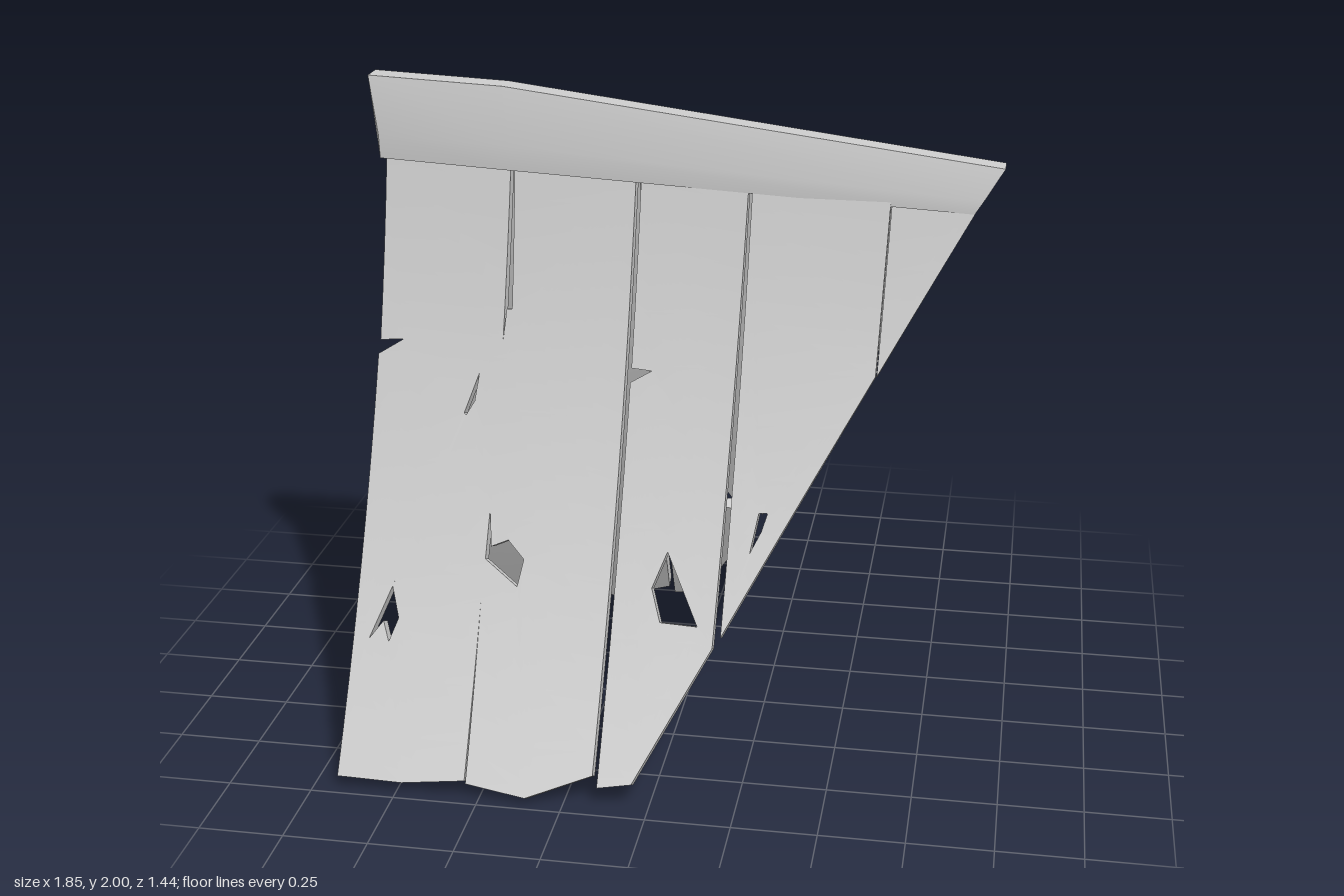
import * as THREE from 'three';
import { toCreasedNormals } from 'three/addons/utils/BufferGeometryUtils.js';

const material = new THREE.MeshStandardMaterial({ color: 0xcccccc });
const THICKNESS = 0.042;

// Centre line of the slightly skewed roof, and the sagging slope of each side
const centre = (x, y) => 0.03 * y - 0.015 * x;
const slope = (y) => 0.732 - 0.58 * y + 0.108 * y * y;
const slopeRate = (y) => -0.58 + 0.216 * y;
// Height of the lower edge of the ridge, where the planks tuck in
const eave = (x) => 1.795 - 0.058 * (x + 0.885);

// Flat outlines (x, y) with holes, drawn on the outer face of the roof
const planks = [
  {
    name: 'widePlank',
    outline: [
      [-0.925, 0.04], [-0.73, 0.035], [-0.543, 0.052], [-0.535, 0.53], [-0.539, 0.045],
      [-0.36, 0.02], [-0.165, 0.09], [-0.13, eave(-0.13)],
      [-0.488, eave(-0.488)], [-0.486, 1.34], [-0.502, 1.34], [-0.51, 1.25], [-0.507, 1.4],
      [-0.499, eave(-0.499)], [-0.87, eave(-0.87)], [-0.88, 1.235], [-0.81, 1.24], [-0.885, 1.195],
    ],
    holes: [
      [[-0.865, 0.405], [-0.805, 0.55], [-0.78, 0.465], [-0.805, 0.4], [-0.825, 0.455]],
      [[-0.618, 1.04], [-0.577, 1.155], [-0.588, 1.075], [-0.612, 1.035]],
      [[-0.525, 0.775], [-0.53, 0.64], [-0.43, 0.57], [-0.415, 0.645], [-0.465, 0.695], [-0.515, 0.675]],
    ],
  },
  {
    name: 'middlePlank',
    outline: [
      [-0.15, 0.06], [-0.05, 0.075], [0.158, 0.44], [0.197, eave(0.197)],
      [-0.115, eave(-0.115)], [-0.125, 1.19], [-0.065, 1.185], [-0.127, 1.15],
    ],
    holes: [[[-0.03, 0.59], [0.01, 0.69], [0.11, 0.495], [0.0, 0.5]]],
  },
  {
    name: 'slantedPlank',
    outline: [[0.18, 0.47], [0.584, 1.2], [0.604, eave(0.604)], [0.208, eave(0.208)]],
    holes: [[[0.25, 0.7], [0.27, 0.81], [0.295, 0.81], [0.28, 0.76]]],
  },
  {
    name: 'cornerPlank',
    inset: 0.01,
    outline: [[0.587, 1.2], [0.84, 1.66], [0.845, 1.685], [0.607, eave(0.607)]],
    holes: [],
  },
];

const toPoints = (list) => list.map(([x, y]) => new THREE.Vector2(x, y));

// Cuts every triangle along the horizontal plane y = h
function cutAt(triangles, h) {
  const result = [];
  for (const tri of triangles) {
    for (const sign of [1, -1]) {
      const part = [];
      tri.forEach((a, i) => {
        const b = tri[(i + 1) % 3];
        const da = (a.y - h) * sign, db = (b.y - h) * sign;
        if (da >= 0) part.push(a);
        if (da * db < 0) part.push(a.clone().lerp(b, da / (da - db)));
      });
      if (part.every((p) => Math.abs(p.y - h) < 1e-9) && sign < 0) continue;
      for (let i = 1; i + 1 < part.length; i++) result.push([part[0], part[i], part[i + 1]]);
    }
  }
  return result;
}

// Extrudes a plank, slices it into bands and bends it onto one side of the roof
function plankGeometry({ outline, holes, inset = 0 }, side) {
  const shape = new THREE.Shape(toPoints(outline));
  shape.holes = holes.map((h) => new THREE.Path(toPoints(h)));
  const flat = new THREE.ExtrudeGeometry(shape, { depth: 1, bevelEnabled: false }).toNonIndexed();
  const pos = flat.attributes.position;
  let triangles = [];
  for (let i = 0; i < pos.count; i += 3) {
    triangles.push([0, 1, 2].map((k) => new THREE.Vector3().fromBufferAttribute(pos, i + k)));
  }
  for (let h = 0.15; h < 1.8; h += 0.15) triangles = cutAt(triangles, h);

  const bend = ({ x, y, z }) => {
    const rate = slopeRate(y);
    const length = Math.hypot(1, rate);
    const depth = (1 - z) * THICKNESS + inset;
    const by = y + (depth * rate) / length;
    const bz = slope(y) - depth / length;
    return new THREE.Vector3(x, by, centre(x, y) + side * bz);
  };
  const points = triangles.flatMap((tri) => {
    const bent = tri.map(bend);
    return side > 0 ? bent : bent.reverse();
  });
  return toCreasedNormals(new THREE.BufferGeometry().setFromPoints(points), 0.6);
}

// Ridge beam lofted through three six-sided sections: top, shoulder, bottom as [x, y, half width]
function ridgeGeometry() {
  const sections = [
    [[-0.915, 2, 0.038], [-0.885, 1.83, 0.066], [-0.885, 1.76, 0.062]],
    [[-0.52, 1.98, 0.038], [-0.5, 1.81, 0.066], [-0.5, 1.737, 0.062]],
    [[0.92, 1.79, 0.036], [0.865, 1.7, 0.058], [0.84, 1.66, 0.06]],
  ].map((rows) => {
    const at = (s) => ([x, y, w]) => new THREE.Vector3(x, y, centre(x, y) + s * w);
    return [...rows.map(at(1)), ...rows.map(at(-1)).reverse()];
  });
  const points = [];
  for (let i = 0; i < 2; i++) {
    for (let j = 0; j < 6; j++) {
      const k = (j + 1) % 6;
      const [a, b, c, d] = [sections[i][j], sections[i][k], sections[i + 1][k], sections[i + 1][j]];
      points.push(a, b, c, a, c, d);
    }
  }
  const [left, , right] = sections;
  for (let j = 1; j < 5; j++) {
    points.push(left[0], left[j + 1], left[j], right[0], right[j], right[j + 1]);
  }
  return toCreasedNormals(new THREE.BufferGeometry().setFromPoints(points), 0.5);
}

export function createModel() {
  const model = new THREE.Group();
  model.name = 'raggedRoof';

  const ridge = new THREE.Mesh(ridgeGeometry(), material);
  ridge.name = 'ridgeBeam';
  model.add(ridge);

  // The same torn planks hang on both sides
  for (const [name, side] of [['frontSlope', 1], ['backSlope', -1]]) {
    const group = new THREE.Group();
    group.name = name;
    for (const plank of planks) {
      const mesh = new THREE.Mesh(plankGeometry(plank, side), material);
      mesh.name = plank.name;
      group.add(mesh);
    }
    model.add(group);
  }
  return model;
}
